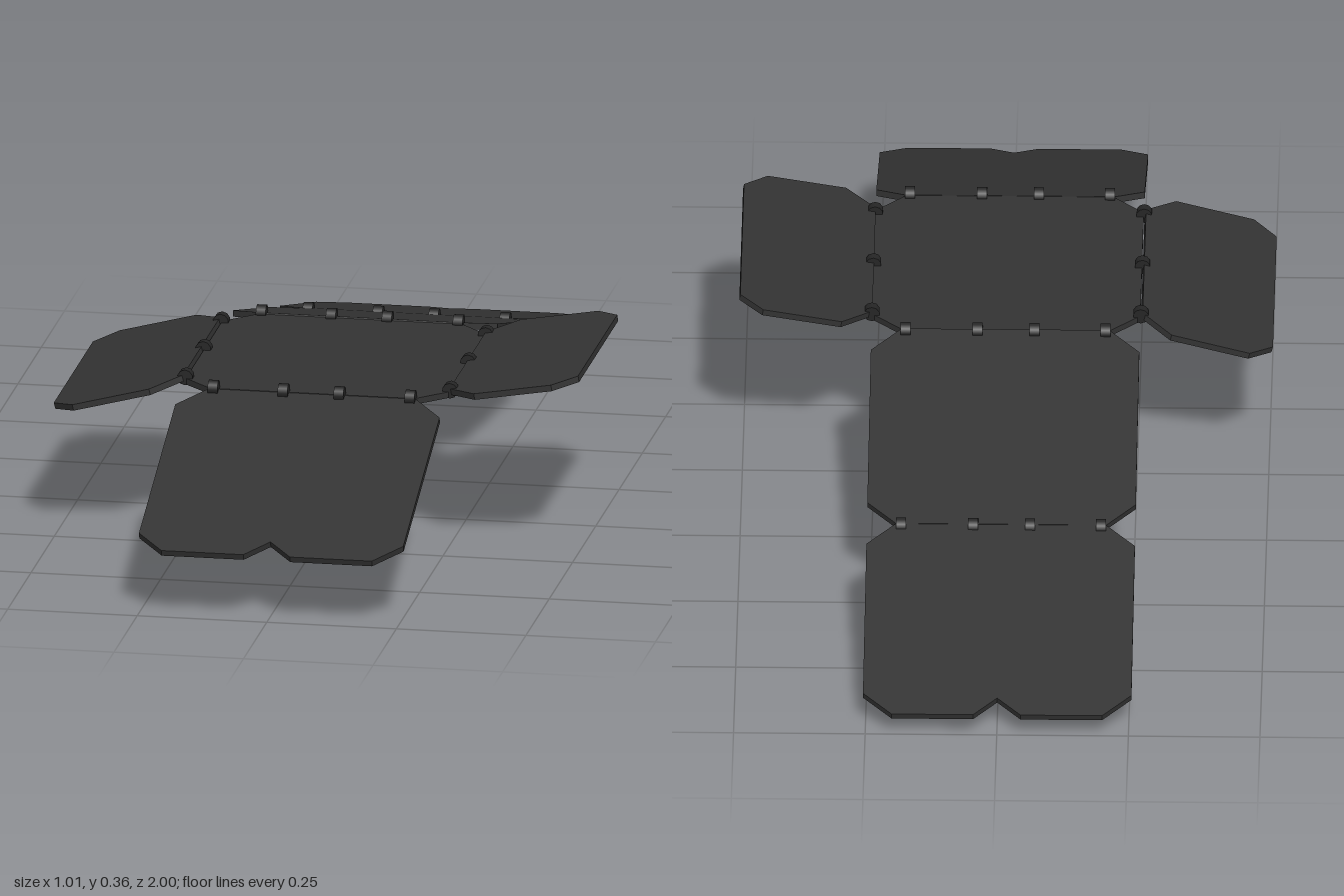
import * as THREE from 'three';

const T = 0.012; // panel thickness

export function createModel() {
  const root = new THREE.Group();
  root.name = 'unfoldedPanels';
  const panelMat = new THREE.MeshStandardMaterial({ color: 0x333333 });
  panelMat.name = 'charcoal';
  const hingeMat = new THREE.MeshStandardMaterial({ color: 0x262626 });
  hingeMat.name = 'dark charcoal';

  const add = (parent, name, geo, mat, x = 0, y = 0, z = 0) => {
    const m = new THREE.Mesh(geo, mat);
    m.name = name;
    m.position.set(x, y, z);
    parent.add(m);
    return m;
  };

  // Chamfered plate running from z = 0 to z = len, with an optional V notch at the far edge
  const plate = (w, len, near, far, notch) => {
    const h = w / 2;
    const pts = [[-h + near, 0], [h - near, 0], [h, near], [h, len - far], [h - far, len]];
    if (notch) pts.push([notch, len], [0, len - notch], [-notch, len]);
    pts.push([-h + far, len], [-h, len - far], [-h, near]);
    const shape = new THREE.Shape(pts.map(([x, y]) => new THREE.Vector2(x, y)));
    return new THREE.ExtrudeGeometry(shape, { depth: T, bevelEnabled: false })
      .rotateX(Math.PI / 2).translate(0, T / 2, 0);
  };

  // Square pad under a panel, with an optional round stud
  const addPad = (parent, z, stud) => {
    add(parent, 'pad', new THREE.BoxGeometry(0.14, 0.026, 0.14), panelMat, 0, -0.018, z);
    if (stud) {
      add(parent, 'stud', new THREE.CylinderGeometry(0.042, 0.042, 0.07, 24), panelMat, 0, -0.063, z);
    }
  };

  // Panel hinged at a point, turned by yaw and dropping outwards by pitch
  const addPanel = (name, pos, yaw, pitch, geo) => {
    const g = new THREE.Group();
    g.name = name;
    g.position.set(...pos);
    g.rotation.set(pitch, yaw, 0, 'YXZ');
    add(g, name + 'Plate', geo, panelMat);
    root.add(g);
    return g;
  };

  const Y = 0.302;
  const centre = addPanel('centrePanel', [0, Y, 0], 0, 0, plate(0.51, 0.51, 0.058, 0.058));
  addPad(centre, 0.26, false);

  const front = addPanel('frontPanel', [0, Y, 0.51], 0, 0.35, plate(0.51, 0.522, 0.055, 0.052, 0.045));
  addPad(front, 0.255, false);

  const backInner = addPanel('backInnerPanel', [0, Y + 0.003, 0], Math.PI, 0.266, plate(0.51, 0.522, 0.058, 0.055));
  addPad(backInner, 0.262, true);

  const backOuter = addPanel('backOuterPanel', [0, 0.168, -0.505], Math.PI, 0.262, plate(0.51, 0.512, 0.055, 0.055, 0.045));
  addPad(backOuter, 0.255, true);

  addPanel('leftPanel', [0.255, Y + 0.006, 0.255], Math.PI / 2, -0.165, plate(0.51, 0.254, 0.058, 0.045));
  addPanel('rightPanel', [-0.258, Y + 0.007, 0.255], -Math.PI / 2, 0.255, plate(0.51, 0.256, 0.058, 0.045));

  // Hinge knuckles along the folds across the strip
  const knuckle = new THREE.CylinderGeometry(0.015, 0.015, 0.019, 10);
  for (const [y, z] of [[0.31, 0.512], [0.31, -0.005], [0.17, -0.506]]) {
    for (const x of [-0.19, -0.055, 0.053, 0.19]) {
      add(root, 'hingeKnuckle', knuckle, hingeMat, x, y, z).rotation.z = Math.PI / 2;
    }
  }
  // Hinge knuckles along the side folds
  for (const x of [-0.256, 0.255]) {
    for (const z of [0.062, 0.25, 0.445]) {
      add(root, 'sideHingeKnuckle', knuckle, hingeMat, x, 0.31, z).rotation.x = Math.PI / 2;
    }
  }
  return root;
}
